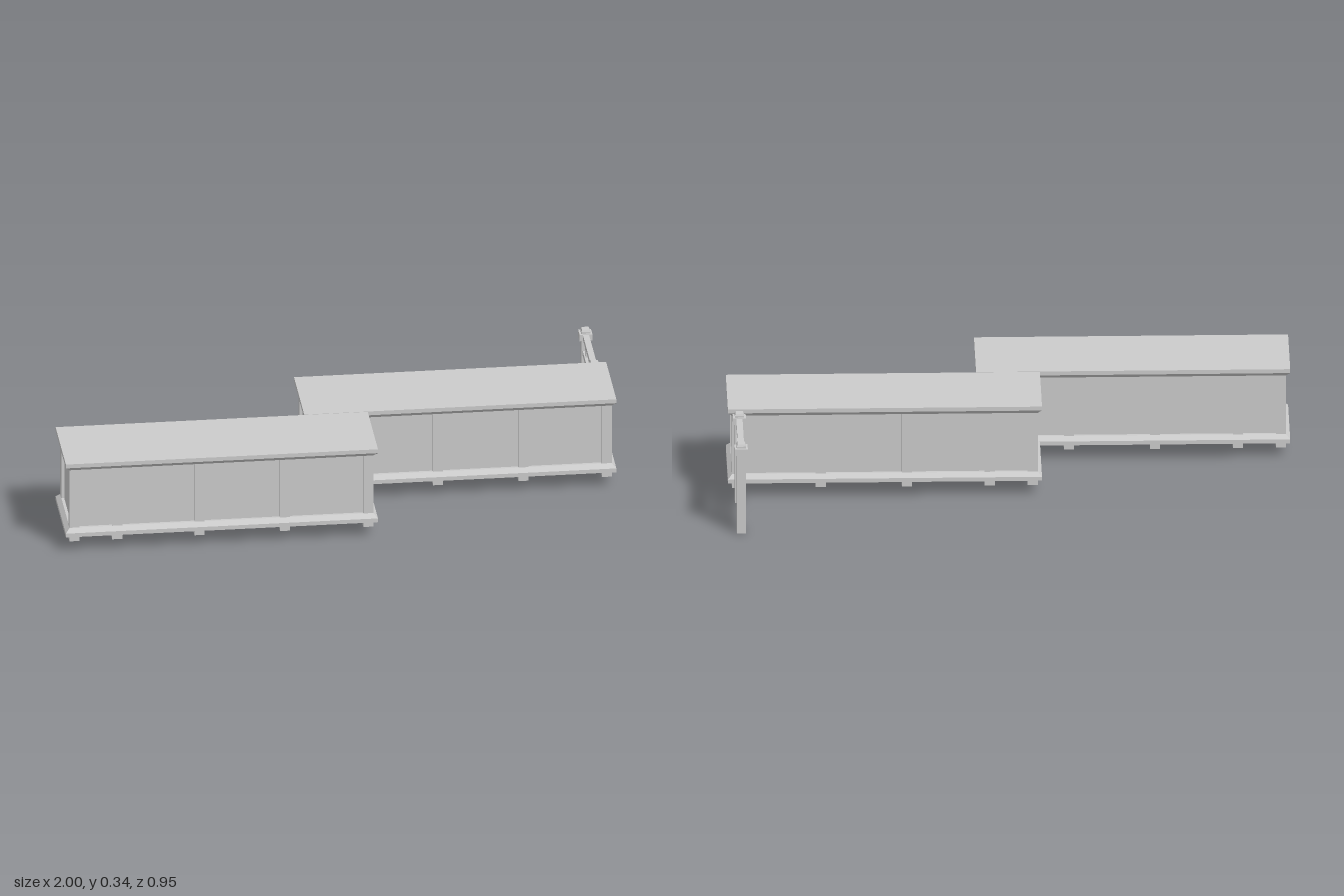
import * as THREE from 'three';

const material = new THREE.MeshStandardMaterial({ color: 0xcccccc, flatShading: true });
const L = 1.113, W = 0.316;   // cabinet length and depth at its mouldings
const POST = 0.036, BEVEL = 0.015;

function add(parent, name, geometry, x, y, z) {
  const mesh = new THREE.Mesh(geometry, material);
  mesh.name = name;
  mesh.position.set(x, y, z);
  parent.add(mesh);
  return mesh;
}

// Box given by its bottom and top heights
function block(parent, name, w, d, y0, y1, x, z) {
  return add(parent, name, new THREE.BoxGeometry(w, y1 - y0, d), x, (y0 + y1) / 2, z);
}

// Slab with a straight lower half and an inward bevel above (dir 1) or below (dir -1)
function moulding(w, h, d, inset, dir) {
  const g = new THREE.BoxGeometry(w, h, d, 1, 2, 1);
  const p = g.attributes.position;
  for (let i = 0; i < p.count; i++) {
    if (p.getY(i) * dir > h * 0.25) {
      p.setX(i, p.getX(i) - Math.sign(p.getX(i)) * inset);
      p.setZ(i, p.getZ(i) - Math.sign(p.getZ(i)) * inset);
    }
  }
  const flat = g.toNonIndexed();
  flat.computeVertexNormals();
  return flat;
}

function createCabinet(name) {
  const cabinet = new THREE.Group();
  cabinet.name = name;
  add(cabinet, 'baseMoulding', moulding(L, 0.03, W, BEVEL, 1), 0, 0.075, 0);
  add(cabinet, 'counterTop', moulding(L, 0.03, W, BEVEL, -1), 0, 0.33, 0);

  // Panelled body, set back behind the posts
  const inset = 2 * BEVEL + 0.02;
  block(cabinet, 'panels', L - inset, W - inset, 0.08, 0.325, 0, 0);

  // Posts, each standing on a foot
  const pz = W / 2 - BEVEL - POST / 2;
  for (const x of [-0.524, -0.3715, -0.078, 0.227, 0.524]) {
    for (const side of [-1, 1]) {
      block(cabinet, 'post', POST, POST, 0.085, 0.32, x, side * pz);
      block(cabinet, 'foot', POST, POST, 0.037, 0.062, x, side * pz);
    }
  }
  return cabinet;
}

function createTrellis() {
  const trellis = new THREE.Group();
  trellis.name = 'trellis';
  // Capped end posts
  for (const z of [-0.14, 0.14]) {
    block(trellis, 'trellisPost', 0.032, 0.032, 0, 0.33, 0, z);
    block(trellis, 'postCollar', 0.046, 0.046, 0.302, 0.327, 0, z);
    add(trellis, 'postCap', moulding(0.032, 0.014, 0.032, 0.003, 1), 0, 0.334, z);
  }
  // Horizontal rails
  for (const y of [0.069, 0.157, 0.251, 0.316]) {
    block(trellis, 'rail', 0.022, 0.27, y - 0.009, y + 0.009, 0, 0);
  }
  // Upright slats
  for (const z of [-0.077, 0.004, 0.079]) {
    block(trellis, 'slat', 0.014, 0.014, 0.035, 0.31, 0, z);
  }
  return trellis;
}

export function createModel() {
  const model = new THREE.Group();
  model.name = 'steppedCounter';

  const front = createCabinet('frontCabinet');
  front.position.set(-0.4435, 0, 0.32);
  const back = createCabinet('backCabinet');
  back.position.set(0.4435, 0, 0.0015);
  const trellis = createTrellis();
  trellis.position.set(0.96, 0, -0.313);

  model.add(front, back, trellis);
  return model;
}
